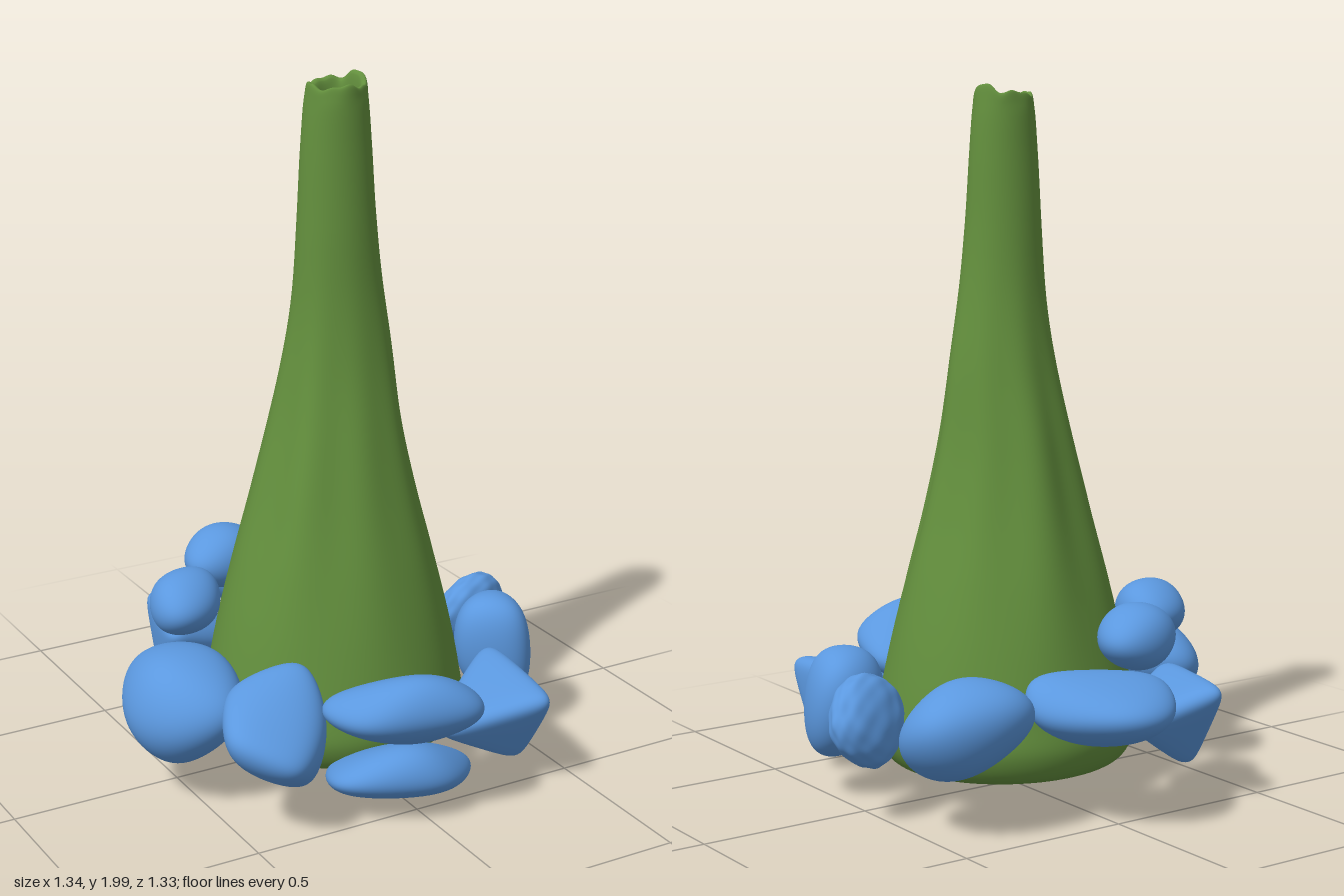
import * as THREE from 'three';
import { mergeVertices } from 'three/addons/utils/BufferGeometryUtils.js';

const green = new THREE.MeshStandardMaterial({ color: 0x638f3d });
green.name = 'mossGreen';
const blue = new THREE.MeshStandardMaterial({ color: 0x5b98df });
blue.name = 'pebbleBlue';

// Half-width in x, height, half-width in z: underside, outer wall, rim, hollow
const PROFILE = [
  [0, 0.07, 0], [0.28, 0.066, 0.26], [0.345, 0.09, 0.33], [0.381, 0.16, 0.361],
  [0.372, 0.25, 0.352], [0.34, 0.42, 0.32], [0.295, 0.6, 0.28], [0.24, 0.8, 0.232],
  [0.193, 1, 0.188], [0.16, 1.2, 0.145], [0.13, 1.4, 0.115], [0.112, 1.6, 0.1],
  [0.1, 1.8, 0.088], [0.088, 1.93, 0.082], [0.079, 1.967, 0.077],
  [0.066, 1.96, 0.064], [0.052, 1.86, 0.05], [0, 1.76, 0],
];

// Tapering, softly fluted stalk with a torn rim
function stalkGeometry() {
  const curve = new THREE.CatmullRomCurve3(PROFILE.map((p) => new THREE.Vector3(...p)));
  const rows = 120, sides = 96, pos = [], index = [];
  for (let i = 0; i <= rows; i++) {
    const p = curve.getPoint(i / rows);
    const flute = 0.05 * Math.exp(-(((p.y - 0.9) / 0.4) ** 2));
    const torn = THREE.MathUtils.smoothstep(p.y, 1.91, 1.97);
    const leanX = 0.012 * Math.exp(-(((p.y - 1.25) / 0.25) ** 2));
    const leanZ = 0.028 + 0.012 * THREE.MathUtils.smoothstep(p.y, 1, 1.6);
    for (let j = 0; j < sides; j++) {
      const a = (j / sides) * Math.PI * 2;
      const k = 1 + flute * (0.5 * Math.sin(5 * a + 2) + 0.5 * Math.sin(8 * a + 0.6)) +
        0.03 * torn * Math.sin(5 * a);
      const jag = 0.006 * Math.sin(4 * a + 1) + 0.003 * Math.sin(9 * a) +
        0.028 * Math.exp(-10 * (1 - Math.cos(a + 0.3)));
      pos.push(leanX + p.x * k * Math.cos(a), p.y + torn * jag, leanZ + p.z * k * Math.sin(a));
      if (i < rows) {
        const q = i * sides + j, r = i * sides + ((j + 1) % sides);
        index.push(q, q + sides, r, r, q + sides, r + sides);
      }
    }
  }
  const g = new THREE.BufferGeometry();
  g.setAttribute('position', new THREE.Float32BufferAttribute(pos, 3));
  g.setIndex(index);
  g.computeVertexNormals();
  return g;
}

// Smooth rounded hull of a few corners (in -1..1), fitted to a box
function pebbleGeometry({ min, max, corners, round = 0.8, sharp = 2.2, bump = 0 }) {
  let g = new THREE.IcosahedronGeometry(1, 15);
  g.deleteAttribute('normal');
  g.deleteAttribute('uv');
  g = mergeVertices(g, 1e-4);
  const pos = g.attributes.position;
  const pts = corners.map((c) => new THREE.Vector3(...c));
  const d = new THREE.Vector3(), p = new THREE.Vector3();
  for (let i = 0; i < pos.count; i++) {
    d.fromBufferAttribute(pos, i).normalize();
    const lumps = Math.sin(9 * d.x + 2) * Math.sin(8 * d.y) * Math.sin(9 * d.z + 1);
    p.copy(d).multiplyScalar(round + bump * lumps);
    const w = pts.map((c) => Math.exp(sharp * d.dot(c)));
    const sum = w.reduce((a, b) => a + b, 0);
    pts.forEach((c, n) => p.addScaledVector(c, w[n] / sum));
    pos.setXYZ(i, p.x, p.y, p.z);
  }
  g.computeBoundingBox();
  const from = g.boundingBox.clone(), size = from.getSize(new THREE.Vector3());
  g.translate(-from.min.x, -from.min.y, -from.min.z);
  g.scale(...size.toArray().map((s, n) => (max[n] - min[n]) / s));
  g.translate(...min);
  g.computeBoundingSphere();
  g.computeVertexNormals();
  return g;
}

const PEBBLES = {
  backPebble: { min: [-0.145, 0.22, -0.665], max: [0.235, 0.42, -0.33], round: 0.65,
    corners: [[-0.6, 0, -0.9], [0.2, 0.1, -0.9], [0.95, -0.2, 0.3], [0.7, 0.7, 0.8], [-0.9, 0.6, 0], [0, -0.9, 0.5], [-0.2, -0.6, -0.6]] },
  backLeftPebble: { min: [0.21, 0.14, -0.485], max: [0.57, 0.43, -0.175], round: 0.9,
    corners: [[-0.9, 0.3, -0.5], [-0.4, 0.6, -0.9], [0.8, 0.4, -0.6], [0.8, -0.2, 0.5], [0.1, -0.9, 0.9], [0, 0.9, 0.2], [0.3, -0.6, -0.5], [-0.6, 0, 0.3]] },
  roughPebble: { min: [0.4, 0.15, -0.155], max: [0.665, 0.405, 0.02], bump: 0.04, round: 0.9, sharp: 2,
    corners: [[-0.9, 0.3, 0.6], [0.9, -0.1, -0.6], [0, 0.9, 0.4], [0, -0.9, -0.4], [0.5, 0.5, 0], [-0.5, -0.5, 0]] },
  leftPebble: { min: [0.35, 0.11, 0.045], max: [0.58, 0.43, 0.28], round: 1,
    corners: [[0.6, 0.5, -0.7], [0.7, -0.5, -0.4], [0.3, -0.8, 0.8], [0.2, 0.6, 0.8], [-0.8, 0.6, 0], [-0.7, -0.5, -0.1], [-0.2, 0.3, -0.8]] },
  frontLeftWedge: { min: [0.1, 0.05, 0.255], max: [0.41, 0.325, 0.6], round: 0.4, sharp: 3,
    corners: [[0.75, 0.7, 0.95], [0.9, 0.85, -1], [0.8, -1, 0], [-1, 0.1, 0.25], [-0.6, 0, -0.2]] },
  upperFrontPebble: { min: [-0.265, 0.2, 0.375], max: [0.175, 0.44, 0.66], round: 0.6,
    corners: [[-1, 0.1, -0.7], [-0.8, 0.1, 0.5], [0, 0.9, 0.5], [0.75, 0.1, 0.9], [0.95, -0.3, -0.6], [0.3, -0.9, -0.3]] },
  lowerFrontPebble: { min: [-0.235, 0, 0.26], max: [0.2, 0.21, 0.6], round: 0.6,
    corners: [[-1, 0.1, 0.3], [-0.1, 0.9, 0.6], [1, -0.4, 0], [0, -1, -0.7], [-0.6, -0.4, -0.8], [0.3, -0.1, 0.9]] },
  frontRightPebble: { min: [-0.545, 0.12, 0.24], max: [-0.23, 0.43, 0.55], round: 0.5, sharp: 2.8,
    corners: [[-1, 0.2, 0.2], [-0.4, 0.6, -0.9], [0.9, 0.9, -0.7], [0.9, 0.1, 0.1], [0.6, -1, 0], [-0.1, -0.3, 0.9], [-0.6, -0.4, 0]] },
  rightPebble: { min: [-0.67, 0.11, -0.165], max: [-0.36, 0.42, 0.285], round: 0.7,
    corners: [[-1, -0.3, -0.1], [-0.3, 0.1, -1], [0.4, 0.2, -0.9], [0.9, 0.6, -0.1], [0.4, 0.2, 1], [-0.6, -0.2, 0.7], [-0.5, 0.7, 0.1], [-0.2, -1, 0.1], [0.8, -0.1, 0.4]] },
  upperRightPebble: { min: [-0.51, 0.39, -0.26], max: [-0.285, 0.57, -0.005], round: 0.9,
    corners: [[-0.7, 0, 0.9], [0.7, 0, -0.9], [0.6, 0.6, -0.1], [-0.5, 0.6, 0.1], [0.5, -0.6, 0], [-0.6, -0.6, 0.1], [-0.3, 0, -0.7], [0.2, 0, 0.7]] },
  upperBackPebble: { min: [-0.28, 0.39, -0.5], max: [-0.015, 0.575, -0.275], round: 0.9,
    corners: [[-0.9, 0, 0.6], [0.9, 0, -0.6], [0.1, 0.6, 0.4], [-0.1, 0.6, -0.4], [0, -0.6, -0.5], [0, -0.6, 0.5], [-0.6, 0, -0.2], [0.6, 0, 0.2]] },
  backRightWedge: { min: [-0.4, 0.09, -0.55], max: [-0.12, 0.35, -0.22], round: 0.4, sharp: 3,
    corners: [[-0.4, 0.8, -1], [-0.95, 0.8, 0.9], [-0.6, -1, 0], [1, 0.1, -0.3], [0.3, 0.1, 0.6]] },
};

export function createModel() {
  const model = new THREE.Group();
  model.name = 'stalkWithPebbles';
  const stalk = new THREE.Mesh(stalkGeometry(), green);
  stalk.name = 'stalk';
  model.add(stalk);

  // Ring of pebbles around the foot
  for (const [name, spec] of Object.entries(PEBBLES)) {
    const pebble = new THREE.Mesh(pebbleGeometry(spec), blue);
    pebble.name = name;
    model.add(pebble);
  }
  return model;
}
